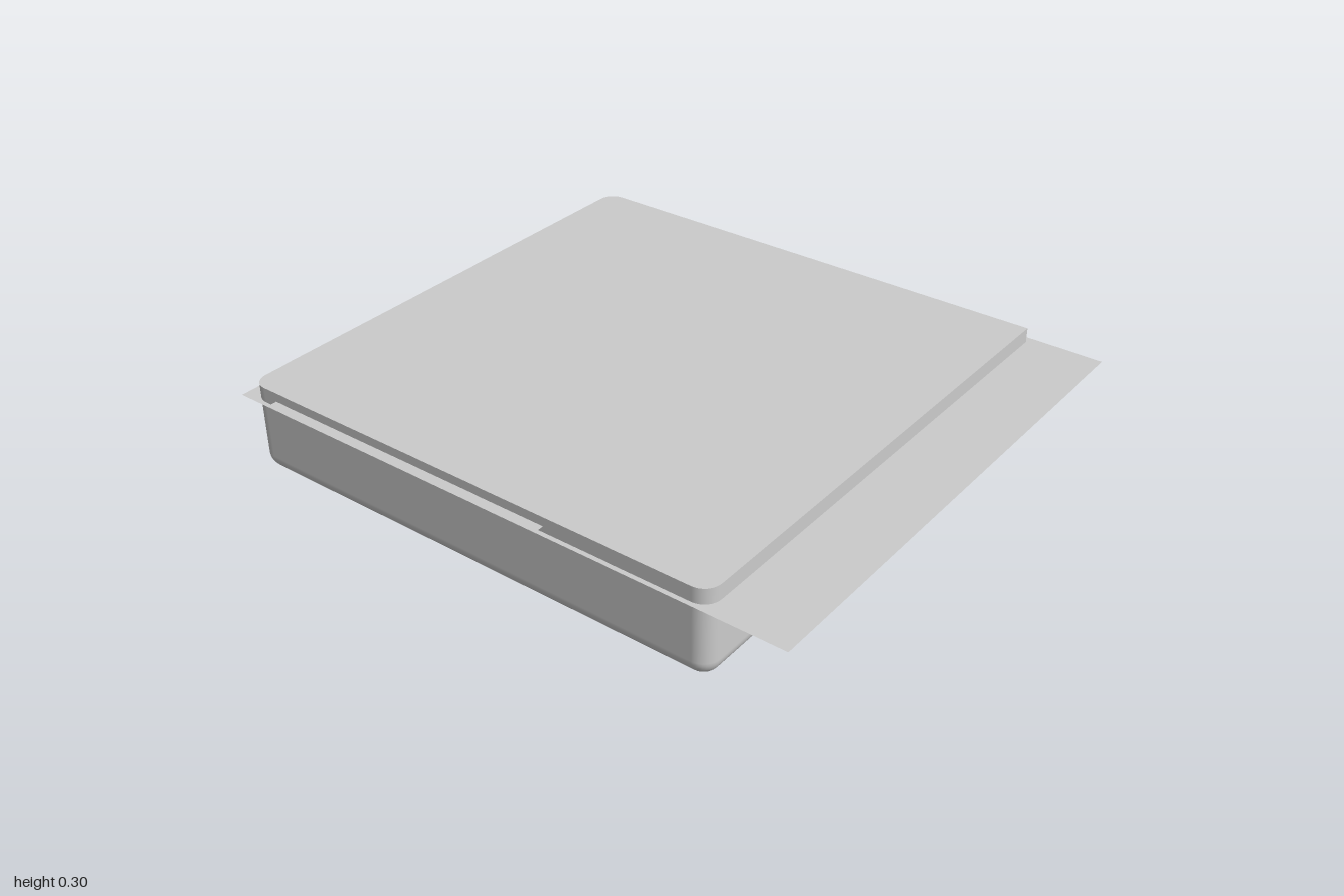
import * as THREE from 'three';

const X0 = -0.865, X1 = 0.855, Z0 = -0.965, Z1 = 0.75; // footprint
const HEIGHT = 0.3, FILLET = 0.055, CORNER = 0.056, STEPS = 8;

// Outline at a given inset: three rounded corners and one sharp front corner
function outline(inset) {
  const corners = [[X1, Z1, 1, 1, true], [X0, Z1, -1, 1], [X0, Z0, -1, -1], [X1, Z0, 1, -1]];
  const points = [];
  corners.forEach(([x, z, sx, sz, sharp], q) => {
    const steps = sharp ? 1 : STEPS;
    for (let i = 0; i <= steps; i++) {
      const a = (q + i / steps) * Math.PI / 2;
      const nx = Math.cos(a), nz = Math.sin(a);
      points.push(sharp
        ? { x: x - sx * inset, z: z - sz * inset, nx, nz }
        : { x: x - sx * CORNER + nx * (CORNER - inset), z: z - sz * CORNER + nz * (CORNER - inset), nx, nz });
    }
  });
  return points;
}

// Block with straight walls and a rounded lower edge
function bodyGeometry() {
  const position = [], normal = [], index = [];
  const addRing = (inset, y, normalAt) => {
    const start = position.length / 3;
    for (const p of outline(inset)) {
      position.push(p.x, y, p.z);
      normal.push(...normalAt(p));
    }
    return start;
  };
  const count = outline(0).length;

  // Fillet rings from the bottom upwards, then the top of the wall
  const rings = [];
  for (let k = 0; k <= STEPS; k++) {
    const t = (1 - k / STEPS) * Math.PI / 2, c = Math.cos(t), s = Math.sin(t);
    rings.push(addRing(FILLET * (1 - c), FILLET * (1 - s), p => [p.nx * c, -s, p.nz * c]));
  }
  rings.push(addRing(0, HEIGHT, p => [p.nx, 0, p.nz]));
  for (let k = 0; k + 1 < rings.length; k++) {
    for (let j = 0; j < count; j++) {
      const n = (j + 1) % count, lo = rings[k], hi = rings[k + 1];
      index.push(lo + j, hi + j, lo + n, hi + j, hi + n, lo + n);
    }
  }

  // Flat bottom and top
  const bottom = addRing(FILLET, 0, () => [0, -1, 0]);
  const top = addRing(0, HEIGHT, () => [0, 1, 0]);
  for (let j = 1; j + 1 < count; j++) {
    index.push(bottom, bottom + j, bottom + j + 1, top, top + j + 1, top + j);
  }

  const geometry = new THREE.BufferGeometry();
  geometry.setAttribute('position', new THREE.Float32BufferAttribute(position, 3));
  geometry.setAttribute('normal', new THREE.Float32BufferAttribute(normal, 3));
  geometry.setIndex(index);
  return geometry;
}

export function createModel() {
  const group = new THREE.Group();
  const solid = new THREE.MeshStandardMaterial({ color: 0xcccccc });
  const thin = new THREE.MeshStandardMaterial({ color: 0xcccccc, side: THREE.DoubleSide });

  const body = new THREE.Mesh(bodyGeometry(), solid);
  body.name = 'body';
  group.add(body);

  // Horizontal sheets without thickness
  const addSheet = (name, x0, x1, z0, z1, y) => {
    const sheet = new THREE.Mesh(new THREE.PlaneGeometry(x1 - x0, z1 - z0).rotateX(-Math.PI / 2), thin);
    sheet.position.set((x0 + x1) / 2, y, (z0 + z1) / 2);
    sheet.name = name;
    group.add(sheet);
  };
  addSheet('partingSheet', -0.88, 0.885, -1, 1, 0.25);
  addSheet('sideStrip', -0.89, -0.8, -0.86, 0.2, 0.27);

  return group;
}
